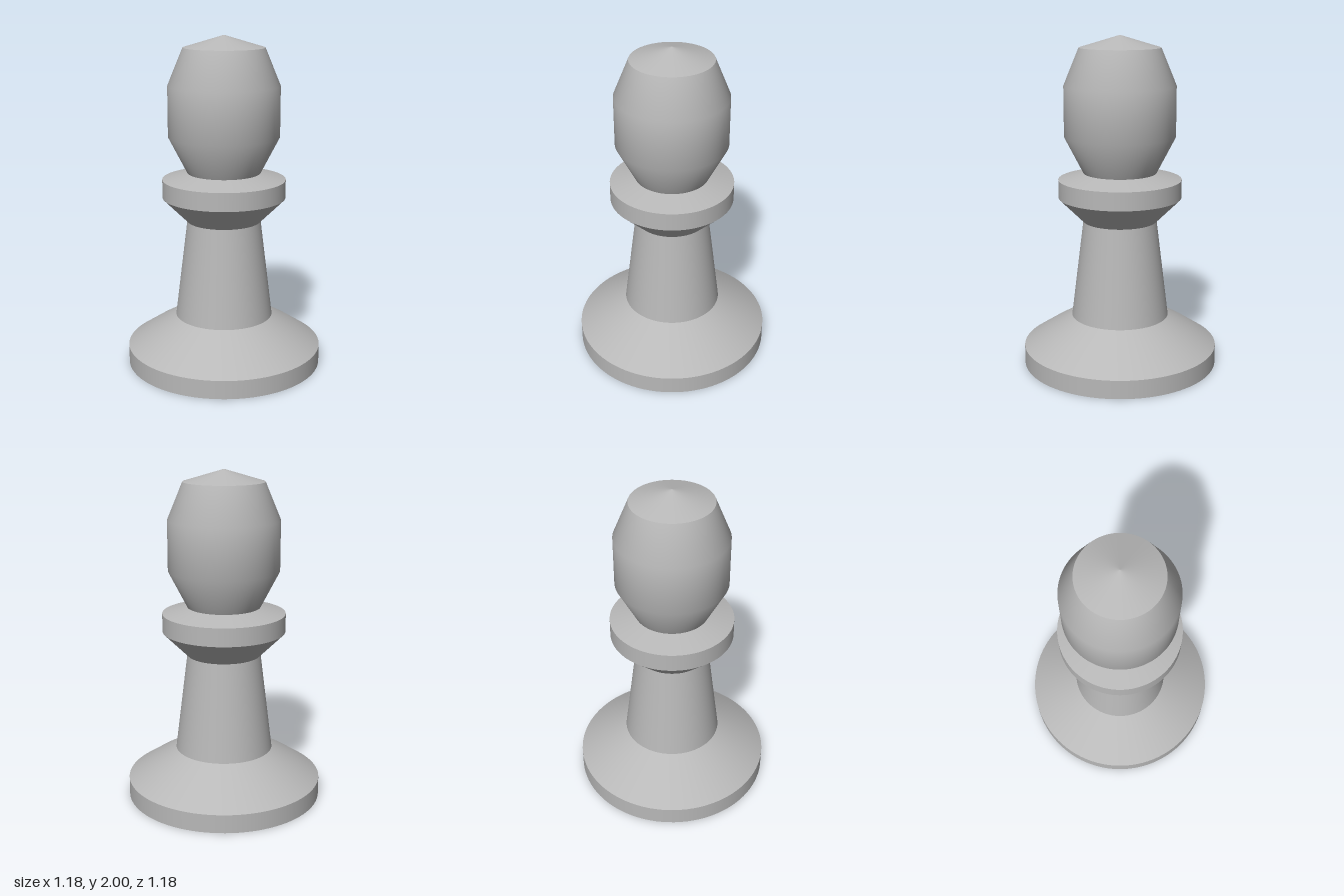
import * as THREE from 'three';

export function createModel() {
  const group = new THREE.Group();
  const grey = new THREE.MeshStandardMaterial({ color: 0xb8b8b8 });
  grey.name = 'plain grey';

  // Turned section; each profile (radius, height) is smooth within itself and sharp at its ends
  const turn = (name, profile) => {
    const points = profile.map(([r, y]) => new THREE.Vector2(r, y));
    const mesh = new THREE.Mesh(new THREE.LatheGeometry(points, 96), grey);
    mesh.name = name;
    group.add(mesh);
  };

  // Foot
  turn('footUnderside', [[0, 0], [0.592, 0]]);
  turn('footRim', [[0.592, 0], [0.592, 0.112]]);
  turn('footSlope', [[0.592, 0.112], [0.445, 0.21], [0.296, 0.298]]);

  // Stem
  turn('stem', [[0.296, 0.298], [0.222, 0.893]]);

  // Collar
  turn('collarUnderside', [[0.222, 0.893], [0.37, 1.04]]);
  turn('collarRim', [[0.37, 1.04], [0.37, 1.15]]);
  turn('collarTop', [[0.37, 1.15], [0.22, 1.19]]);

  // Head, with a shallow pointed cap
  turn('head', [[0.22, 1.19], [0.332, 1.408], [0.332, 1.708], [0.241, 1.928]]);
  turn('cap', [[0.241, 1.928], [0, 2]]);

  return group;
}
